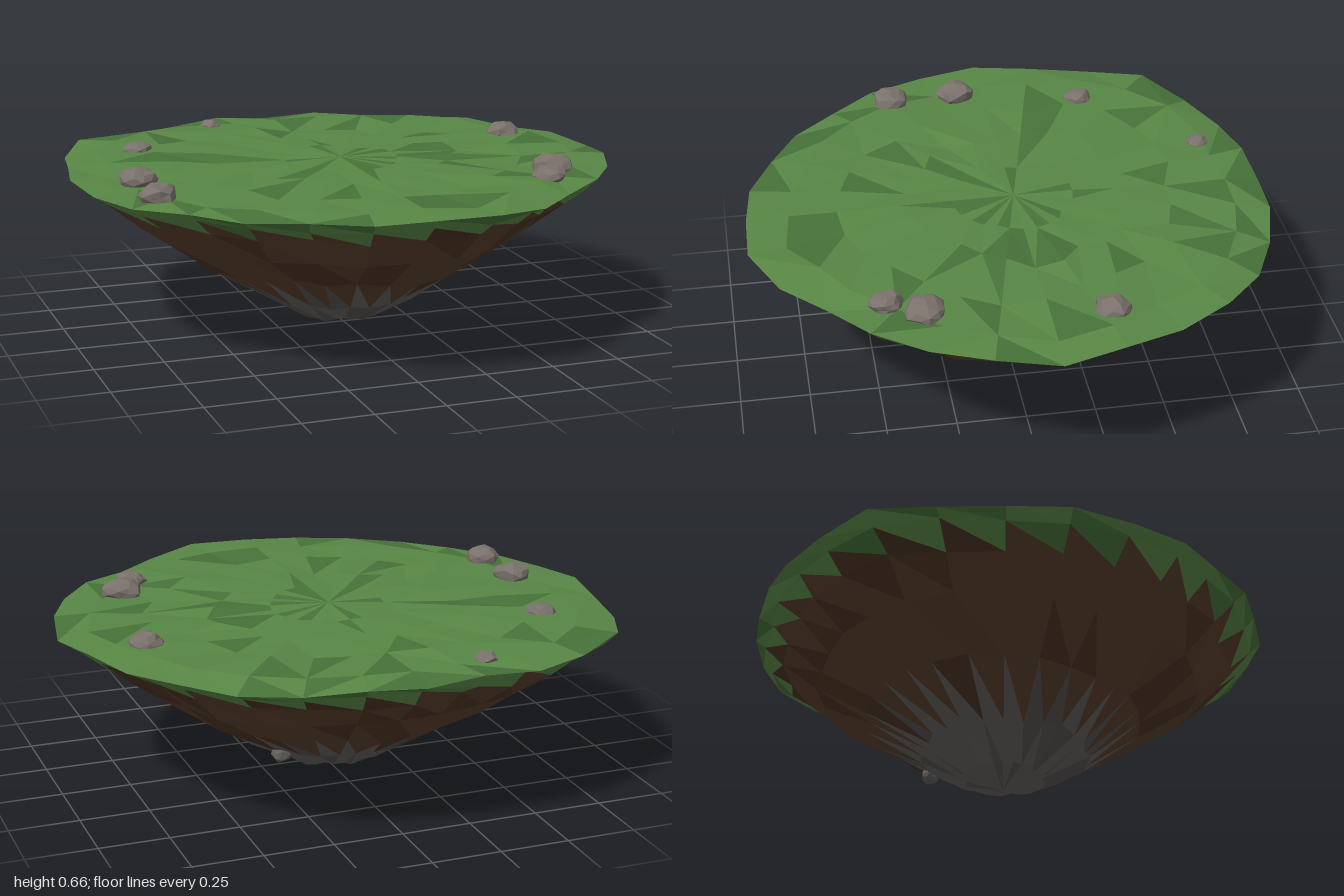
import * as THREE from 'three';

// Repeatable noise in -1..1
let seed = 7;
const noise = () => {
  seed = (seed * 16807) % 2147483647;
  return (seed / 2147483647) * 2 - 1;
};

const CENTRE_Z = -0.035;
// Outline radius at 28 equal angles, from +x round through +z
const OUTLINE = [
  1.0, 0.985, 0.97, 0.955, 0.925, 0.965, 0.99, 0.96, 0.96, 0.935, 0.95, 0.937, 0.98, 0.99,
  1.0, 0.985, 1.027, 1.055, 1.005, 0.966, 0.925, 0.91, 0.92, 0.935, 0.96, 0.97, 0.965, 0.975,
];
const SIDES = OUTLINE.length;

// Rings from the middle of the grass, over the rim and down to the tip:
// [radius, height, radius jitter, height jitter]
const RINGS = [
  [0, 0.617, 0, 0],
  [0.22, 0.613, 0.02, 0.005],
  [0.43, 0.611, 0.04, 0.009],
  [0.65, 0.609, 0.04, 0.011],
  [0.86, 0.608, 0.03, 0.01],
  [1, 0.597, 0, 0.012],
  [0.95, 0.565, 0.012, 0.008],
  [0.87, 0.505, 0.015, 0.01],
  [0.74, 0.4, 0.02, 0.008],
  [0.54, 0.27, 0.02, 0.015],
  [0.325, 0.135, 0.02, 0.012],
  [0.16, 0.042, 0.015, 0.008],
  [0, 0, 0, 0],
];
const RIM = 5, GRASS_END = 6, SOIL_END = 9;

const COLORS = {
  grass: 0x588645, darkGrass: 0x477239,
  soil: 0x573d2a, darkSoil: 0x493222,
  stone: 0x625f5b, darkStone: 0x55524f,
  boulder: 0x7a716b,
};
const materials = Object.fromEntries(Object.entries(COLORS).map(([name, color]) =>
  [name, new THREE.MeshStandardMaterial({ color, flatShading: true })]));

function makeIsland() {
  const group = new THREE.Group();
  group.name = 'island';

  const rings = RINGS.map(([r, y, jr, jy]) => OUTLINE.map((outline, k) => {
    const a = (k / SIDES) * Math.PI * 2;
    const radius = r * outline + noise() * jr;
    return [Math.cos(a) * radius, y + noise() * jy, CENTRE_Z + Math.sin(a) * radius];
  }));

  // Facets are sorted by ground layer, each with a light and a dark shade
  const facets = { grass: [], darkGrass: [], soil: [], darkSoil: [], stone: [], darkStone: [] };
  const add = (layer, ...corners) => {
    const dark = noise() > 0.5;
    const key = dark ? 'dark' + layer[0].toUpperCase() + layer.slice(1) : layer;
    facets[key].push(...corners.flat());
  };
  for (let i = 0; i < rings.length - 1; i++) {
    // Layers meet in a zigzag: facets based on the lower ring change first
    const upperLayer = i <= GRASS_END ? 'grass' : i <= SOIL_END ? 'soil' : 'stone';
    const lowerLayer = i < GRASS_END ? 'grass' : i < SOIL_END ? 'soil' : 'stone';
    for (let k = 0; k < SIDES; k++) {
      const n = (k + 1) % SIDES;
      const u0 = rings[i][k], u1 = rings[i][n];
      const l0 = rings[i + 1][k], l1 = rings[i + 1][n];
      // Alternate the diagonal on the grass for an irregular faceting
      if (i > 0 && i < RIM && noise() > 0.2) {
        add(upperLayer, u0, u1, l1);
        add(lowerLayer, u0, l1, l0);
        continue;
      }
      if (i > 0) add(upperLayer, u0, u1, l0);
      if (i < rings.length - 2) add(lowerLayer, u1, l1, l0);
      }
  }

  for (const [name, points] of Object.entries(facets)) {
    const geometry = new THREE.BufferGeometry();
    geometry.setAttribute('position', new THREE.Float32BufferAttribute(points, 3));
    geometry.computeVertexNormals();
    const mesh = new THREE.Mesh(geometry, materials[name]);
    mesh.name = name;
    group.add(mesh);
  }
  return group;
}

// Lumpy faceted rock; coincident corners share one offset so it stays closed
function makeRock(name, x, y, z, size, flatness, material) {
  const geometry = new THREE.IcosahedronGeometry(1, 1);
  const p = geometry.attributes.position;
  const scales = new Map();
  const v = new THREE.Vector3();
  for (let i = 0; i < p.count; i++) {
    v.fromBufferAttribute(p, i);
    const key = v.toArray().map((c) => Math.round(c * 100)).join();
    if (!scales.has(key)) scales.set(key, 0.96 + noise() * 0.13);
    v.multiplyScalar(scales.get(key));
    p.setXYZ(i, v.x, v.y, v.z);
  }
  geometry.computeVertexNormals();
  const rock = new THREE.Mesh(geometry, material);
  rock.name = name;
  rock.position.set(x, y, z);
  rock.scale.set(size, size * flatness, size);
  rock.rotation.y = noise() * Math.PI;
  return rock;
}

export function createModel() {
  const model = new THREE.Group();
  model.name = 'floatingIsland';
  model.add(makeIsland());

  // Boulders lying on the grass: x, z, size
  const boulders = [
    [-0.28, -0.78, 0.04], [-0.67, -0.4, 0.058], [0.745, -0.245, 0.066], [-0.785, 0.065, 0.07],
    [-0.775, 0.32, 0.068], [0.66, 0.37, 0.075], [0.592, 0.495, 0.06],
  ];
  for (const [x, z, size] of boulders) {
    model.add(makeRock('boulder', x, 0.6 + size * 0.24, z, size, 0.62, materials.boulder));
  }

  // Stones stuck in the underside: x, y, z, size
  const stones = [[0.26, 0.145, -0.25, 0.035], [-0.16, 0.085, 0.04, 0.033]];
  for (const [x, y, z, size] of stones) {
    model.add(makeRock('hangingStone', x, y, z, size, 0.9, materials.stone));
  }
  return model;
}
